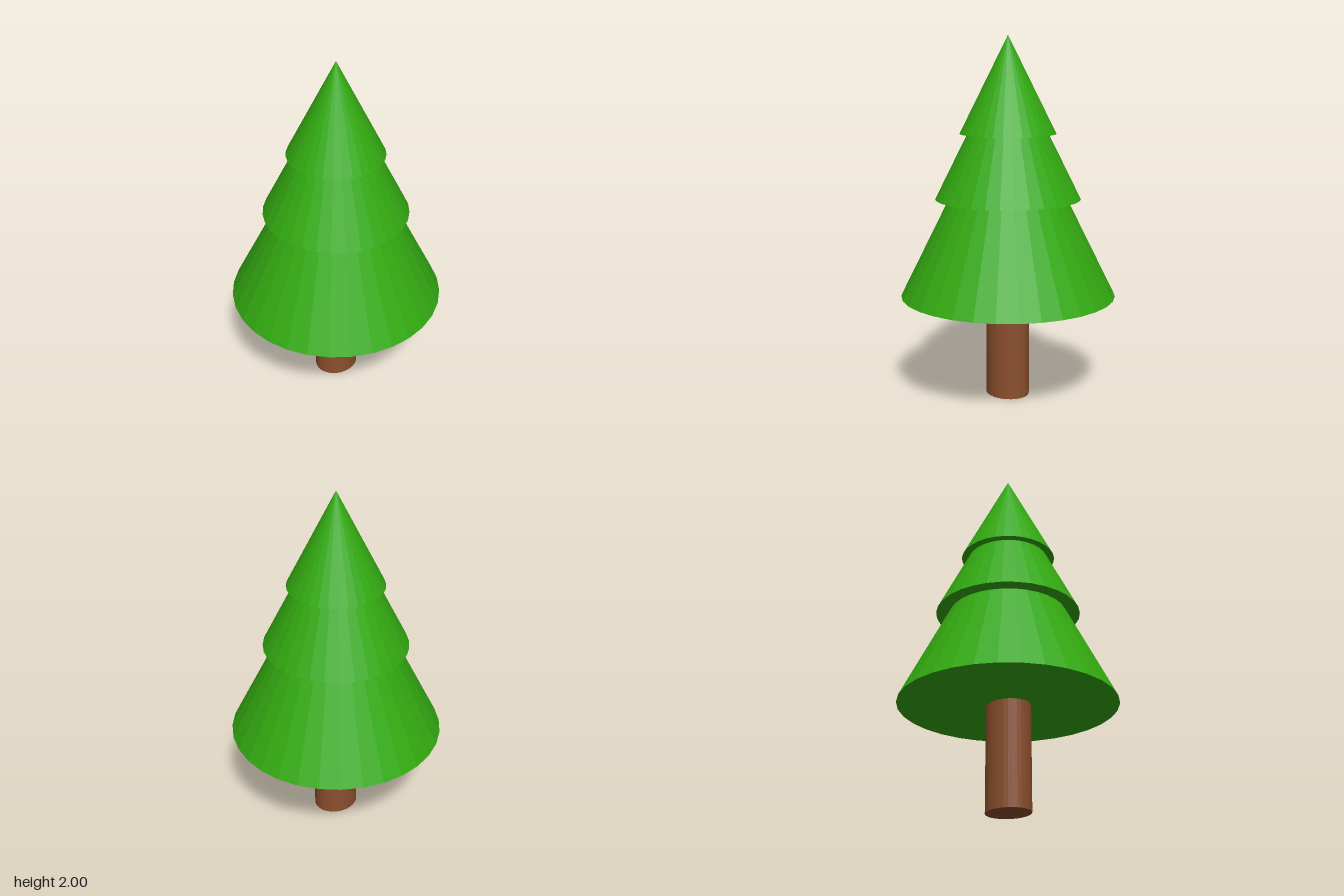
import * as THREE from 'three';

const SIDES = 32;

export function createModel() {
  const tree = new THREE.Group();
  tree.name = 'pineTree';

  const leaves = new THREE.MeshStandardMaterial({ color: 0x33aa11, flatShading: true });
  const bark = new THREE.MeshStandardMaterial({ color: 0x8b4f2d, flatShading: true });

  // Trunk: slightly oval cylinder, its top tucked into the lowest tier
  const trunkHeight = 0.62;
  const trunk = new THREE.Mesh(new THREE.CylinderGeometry(1, 1, trunkHeight, SIDES), bark);
  trunk.name = 'trunk';
  trunk.scale.set(0.114, 1, 0.13);
  trunk.position.set(0.003, trunkHeight / 2, 0);
  tree.add(trunk);

  // Foliage: three closed cones, overlapping upwards
  const tiers = [
    { name: 'lowerFoliage', base: 0.577, radius: 0.595, height: 1.19 },
    { name: 'middleFoliage', base: 1.117, radius: 0.4, height: 0.8 },
    { name: 'upperFoliage', base: 1.474, radius: 0.264, height: 0.526 },
  ];
  for (const { name, base, radius, height } of tiers) {
    const tier = new THREE.Mesh(new THREE.ConeGeometry(radius, height, SIDES), leaves);
    tier.name = name;
    tier.position.y = base + height / 2;
    tree.add(tier);
  }

  return tree;
}
